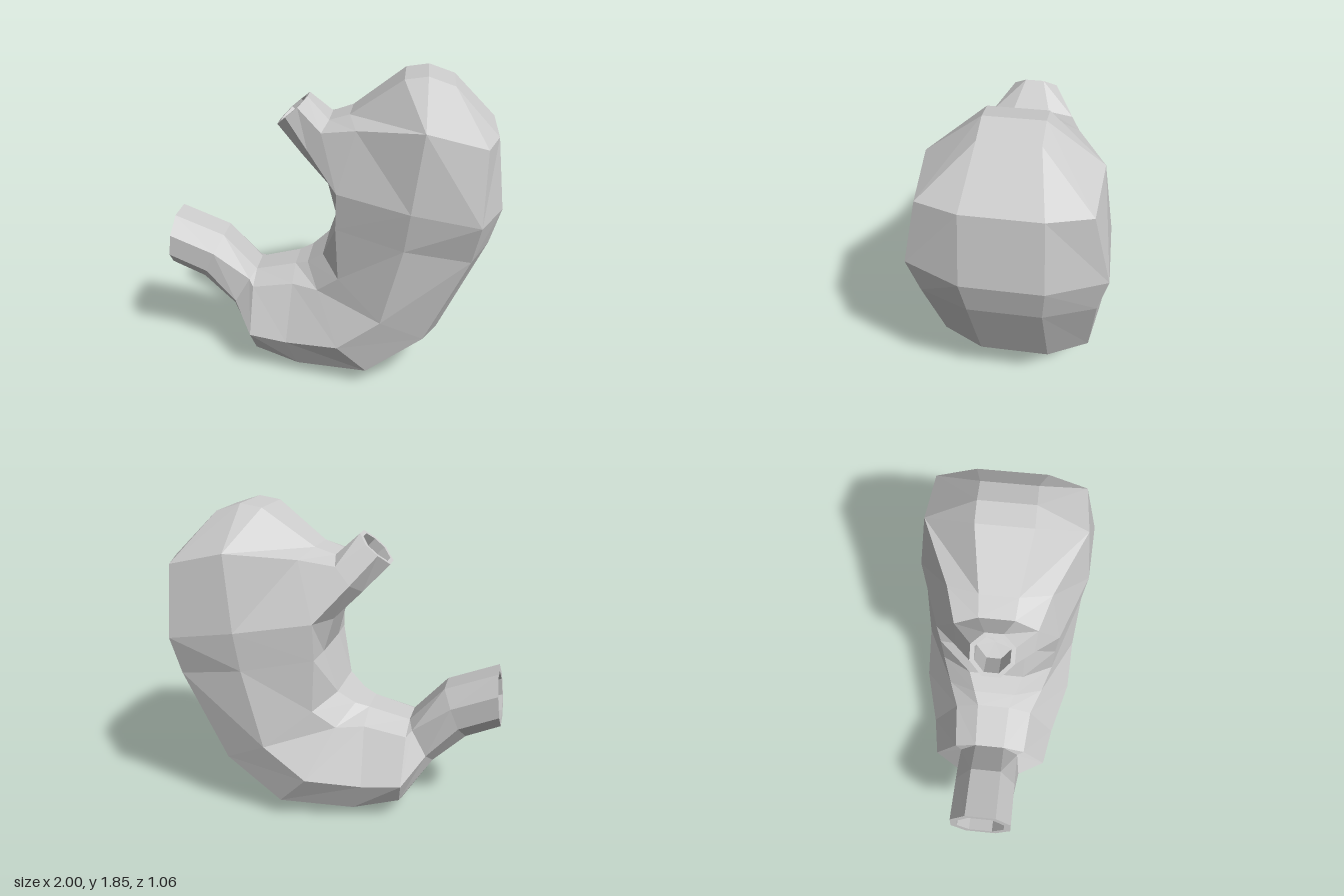
import * as THREE from 'three';

// Skins a row of symmetric stations. Each station is a half section [x, y, z]
// (z > 0) that is mirrored in z; "closed" also joins its first point across.
function loft(name, stations, closed = true) {
  const rings = stations.map((h) => [
    ...h,
    ...[...h].reverse().map(([x, y, z]) => [x, y, -z]),
  ].map((p) => new THREE.Vector3(...p)));
  const pos = [];
  const tri = (a, b, c) => {
    const n = b.clone().sub(a).cross(c.clone().sub(a));
    if (n.length() > 1e-6) for (const p of [a, b, c]) pos.push(p.x, p.y, p.z);
  };
  for (let i = 0; i < rings.length - 1; i++) {
    const r = rings[i], s = rings[i + 1], n = r.length;
    for (let j = 0; j < (closed ? n : n - 1); j++) {
      const k = (j + 1) % n;
      // Mirror the diagonal on the far side
      if (j < n / 2) { tri(r[j], r[k], s[k]); tri(r[j], s[k], s[j]); }
      else { tri(r[j], r[k], s[j]); tri(r[k], s[k], s[j]); }
    }
  }
  const geo = new THREE.BufferGeometry();
  geo.setAttribute('position', new THREE.Float32BufferAttribute(pos, 3));
  geo.computeVertexNormals();
  const mesh = new THREE.Mesh(geo, new THREE.MeshStandardMaterial({
    color: 0xcccccc, flatShading: true, side: THREE.DoubleSide,
  }));
  mesh.name = name;
  return mesh;
}

// Rim, inner wall and floor of an open tube end
function mouth(h, rim, dx, dy) {
  const a = h[0], b = h[h.length - 1];
  const cx = (a[0] + b[0]) / 2, cy = (a[1] + b[1]) / 2;
  const ring = (s, d) => h.map(([x, y, z]) =>
    [cx + (x - cx) * s + dx * d, cy + (y - cy) * s + dy * d, z * s]);
  return [ring(rim, 0), ring(rim, 1), ring(0, 1)];
}

export function createModel() {
  const group = new THREE.Group();
  group.name = 'stomach';

  // Body sections, from the outer curve to the inner curve
  const body = [
    [[1, 1.12, 0.22], [0.87, 1.13, 0.53], [0.49, 1.18, 0.51], [0.07, 1.22, 0.36], [0, 1.2, 0.15]],
    [[0.94, 0.9, 0.2], [0.83, 0.9, 0.475], [0.46, 0.95, 0.49], [0.065, 1, 0.35], [0.055, 1, 0.17]],
    [[0.67, 0.31, 0.2], [0.59, 0.36, 0.43], [0.34, 0.48, 0.485], [0.08, 0.68, 0.35], [-0.03, 0.75, 0.17]],
    [[0.3, 0.05, 0.19], [0.26, 0.11, 0.435], [0.09, 0.29, 0.485], [-0.05, 0.57, 0.3], [-0.13, 0.67, 0.13]],
    [[-0.16, 0, 0.14], [-0.17, 0.07, 0.34], [-0.23, 0.25, 0.4], [-0.21, 0.57, 0.24], [-0.21, 0.64, 0.1]],
    [[-0.44, 0.07, 0.13], [-0.44, 0.125, 0.28], [-0.46, 0.26, 0.36], [-0.46, 0.52, 0.22], [-0.46, 0.58, 0.09]],
  ];
  // Outlet root: the two outer points merge into the tube's lower edge
  const bottom = [-0.61, 0.33, 0.1];
  const outletRoot = [bottom, bottom, [-0.58, 0.4, 0.2], [-0.49, 0.55, 0.18], [-0.46, 0.58, 0.09]];
  group.add(loft('body', [...body, outletRoot]));

  // Outlet tube
  const outletEnd = [[-1, 0.6, 0.09], [-0.99, 0.69, 0.18], [-0.975, 0.82, 0.18], [-0.96, 0.92, 0.09]];
  group.add(loft('outletTube', [
    outletRoot.slice(1),
    [[-0.8, 0.51, 0.09], [-0.76, 0.59, 0.18], [-0.71, 0.71, 0.18], [-0.66, 0.8, 0.09]],
    outletEnd,
    ...mouth(outletEnd, 0.78, 0.24, -0.07),
  ]));

  // Domed top: shoulder, rim and ridge, from the outer side to the inlet
  const [outer, crease, mid, inner, innerEdge] = body[0];
  const rimOut = [0.88, 1.54, 0.44], rimMid = [0.55, 1.62, 0.46];
  const neck = [inner, [0.17, 1.57, 0.29], [0.12, 1.61, 0.11]];
  group.add(loft('dome', [
    [crease, crease, outer],
    [crease, rimOut, [0.95, 1.54, 0.21]],
    [crease, rimOut, [0.7, 1.8, 0.16]],
    [mid, rimMid, [0.55, 1.85, 0.16]],
    [mid, rimMid, [0.42, 1.83, 0.16]],
    neck,
  ], false));

  // Inlet tube, flaring into the neck
  const inletEnd = [[-0.31, 1.52, 0.05], [-0.25, 1.58, 0.12], [-0.18, 1.64, 0.12], [-0.13, 1.69, 0.05]];
  group.add(loft('inletTube', [
    [innerEdge, ...neck],
    [[-0.16, 1.36, 0.1], [-0.11, 1.42, 0.22], [-0.03, 1.53, 0.23], [0, 1.57, 0.1]],
    inletEnd,
    ...mouth(inletEnd, 0.8, 0.13, -0.13),
  ]));

  return group;
}
